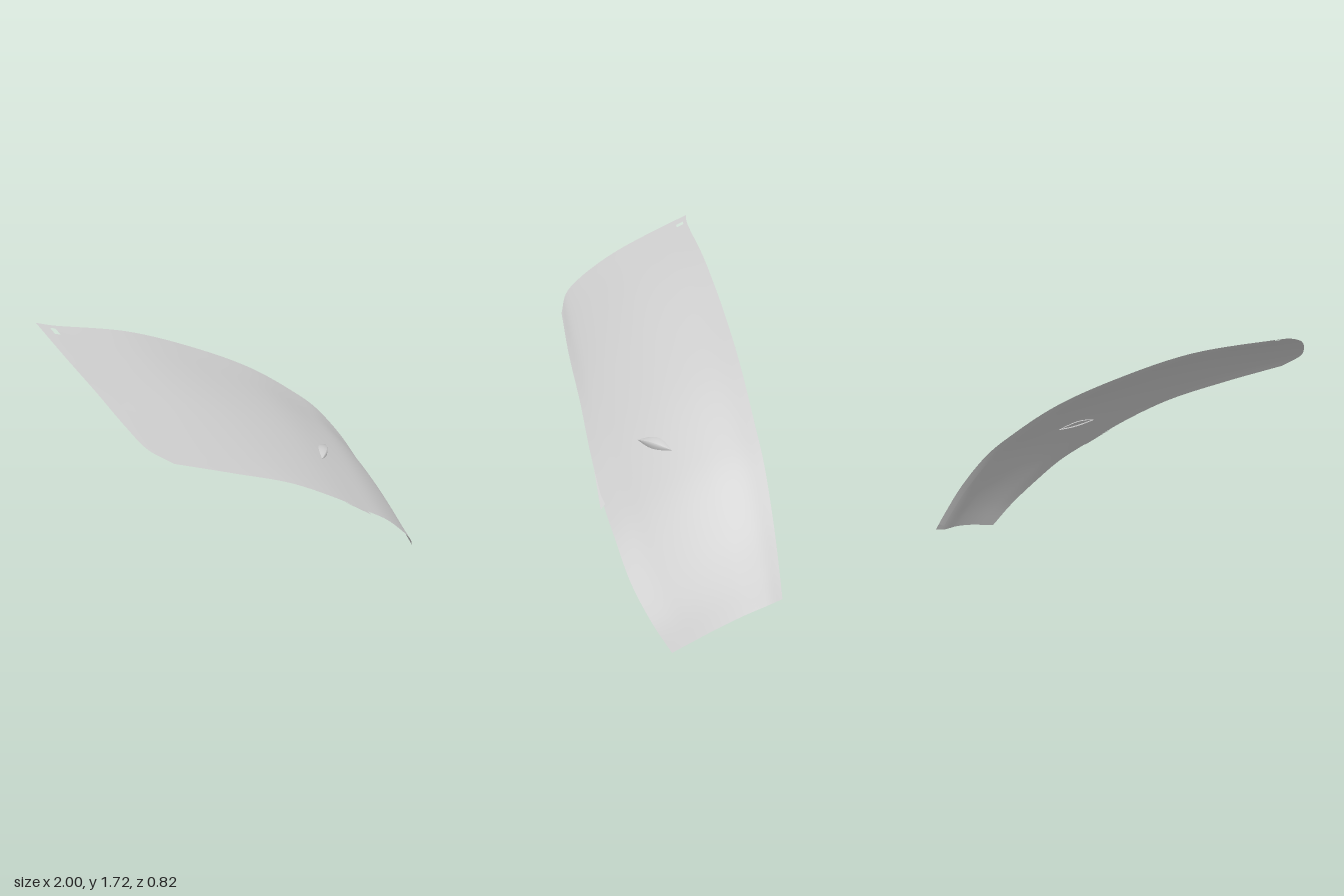
import * as THREE from 'three';

const material = new THREE.MeshStandardMaterial({ color: 0xcccccc, side: THREE.DoubleSide });
const curve = (pts) => new THREE.CatmullRomCurve3(pts.map((p) => new THREE.Vector3(...p)));

// The four border curves of the panel
const rear = curve([[-1, 1.72, -0.41], [-0.93, 1.695, -0.395], [-0.53, 1.56, -0.39], [-0.12, 1.35, -0.39], [0.2, 1.15, -0.385],
  [0.46, 0.94, -0.38], [0.62, 0.79, -0.38], [0.8, 0.56, -0.375], [0.92, 0.37, -0.37], [1, 0.235, -0.365]]);
const front = curve([[-0.71, 1.25, 0.39], [-0.4, 1.1, 0.405], [-0.07, 0.93, 0.405], [0.2, 0.75, 0.405],
  [0.42, 0.58, 0.39], [0.6, 0.435, 0.36], [0.75, 0.28, 0.32], [0.88, 0.13, 0.25], [0.97, 0, 0.17]]);
const highEnd = curve([[-1, 1.72, -0.41], [-0.965, 1.63, -0.18], [-0.92, 1.53, 0.05], [-0.87, 1.42, 0.24],
  [-0.82, 1.34, 0.34], [-0.71, 1.25, 0.39]]);
const lowEnd = curve([[1, 0.235, -0.365], [0.99, 0.205, -0.3], [0.99, 0.165, -0.18], [0.985, 0.11, -0.05], [0.97, 0, 0.17]]);

// Surface blended between the borders, with a slight crown
function panelPoint(u, v) {
  const p = new THREE.Vector3();
  const add = (q, w) => p.addScaledVector(q, w);
  add(rear.getPointAt(u), 1 - v);
  add(front.getPointAt(u), v);
  add(highEnd.getPointAt(v), 1 - u);
  add(lowEnd.getPointAt(v), u);
  add(rear.getPointAt(0), -(1 - u) * (1 - v));
  add(rear.getPointAt(1), -u * (1 - v));
  add(front.getPointAt(0), -(1 - u) * v);
  add(front.getPointAt(1), -u * v);
  p.y += 0.022 * Math.sin(Math.PI * u) * Math.sin(Math.PI * v);
  return p;
}

// Grid mesh from a point function; cells for which skip is true stay open
function sheet(name, nu, nv, point, skip = () => false) {
  const positions = [], index = [];
  for (let j = 0; j <= nv; j++)
    for (let i = 0; i <= nu; i++) positions.push(...point(i / nu, j / nv).toArray());
  for (let j = 0; j < nv; j++)
    for (let i = 0; i < nu; i++) {
      if (skip(i, j)) continue;
      const a = j * (nu + 1) + i, b = a + nu + 1;
      index.push(a, b, a + 1, b, b + 1, a + 1);
    }
  const geometry = new THREE.BufferGeometry();
  geometry.setAttribute('position', new THREE.Float32BufferAttribute(positions, 3));
  geometry.setIndex(index);
  geometry.computeVertexNormals();
  const mesh = new THREE.Mesh(geometry, material);
  mesh.name = name;
  return mesh;
}

// Panel point closest to a given plan position
function panelAt(x, z) {
  let best, bestDistance = Infinity;
  for (let i = 0; i <= 80; i++)
    for (let j = 0; j <= 40; j++) {
      const p = panelPoint(0.5 + i / 200, 0.3 + j / 80);
      const d = Math.hypot(p.x - x, p.z - z);
      if (d < bestDistance) { bestDistance = d; best = p; }
    }
  return best;
}

export function createModel() {
  const group = new THREE.Group();
  group.name = 'curvedPanel';

  // Main skin with a small fixing hole at its high rear corner
  group.add(sheet('panelSkin', 90, 44, panelPoint, (i, j) => i === 2 && (j === 1 || j === 2)));

  // Narrow hem folded under the rear edge
  group.add(sheet('rearHem', 50, 3, (u, v) => {
    const p = panelPoint(0.04 + 0.94 * u, 0.07 * v);
    p.y -= 0.012 * Math.sin(v * Math.PI / 2);
    return p;
  }));

  // Small step on the front edge
  const step = [[0.28, 0.687, 0.402], [0.457, 0.545, 0.405], [0.44, 0.57, 0.378]].map((p) => new THREE.Vector3(...p));
  const tab = new THREE.BufferGeometry().setFromPoints(step);
  tab.computeVertexNormals();
  const tabMesh = new THREE.Mesh(tab, material);
  tabMesh.name = 'edgeStep';
  group.add(tabMesh);

  // Lens-shaped blister: upper and lower faces meet in a level ridge
  const a = panelAt(0.285, 0.18), b = panelAt(0.41, 0.03);
  const out = new THREE.Vector3(0.5, 0.72, 0.48).normalize();
  const up = new THREE.Vector3().crossVectors(out, b.clone().sub(a)).normalize();
  if (up.y < 0) up.negate();
  const blisterFace = (name, reach) => sheet(name, 20, 5, (u, v) => {
    const swell = Math.sin(Math.PI * u);
    return a.clone().lerp(b, u)
      .addScaledVector(up, reach * swell * v)
      .addScaledVector(out, 0.024 * swell * (1 - v * v) - 0.004 * v);
  });
  group.add(blisterFace('blisterUpper', 0.05), blisterFace('blisterLower', -0.025));

  return group;
}
